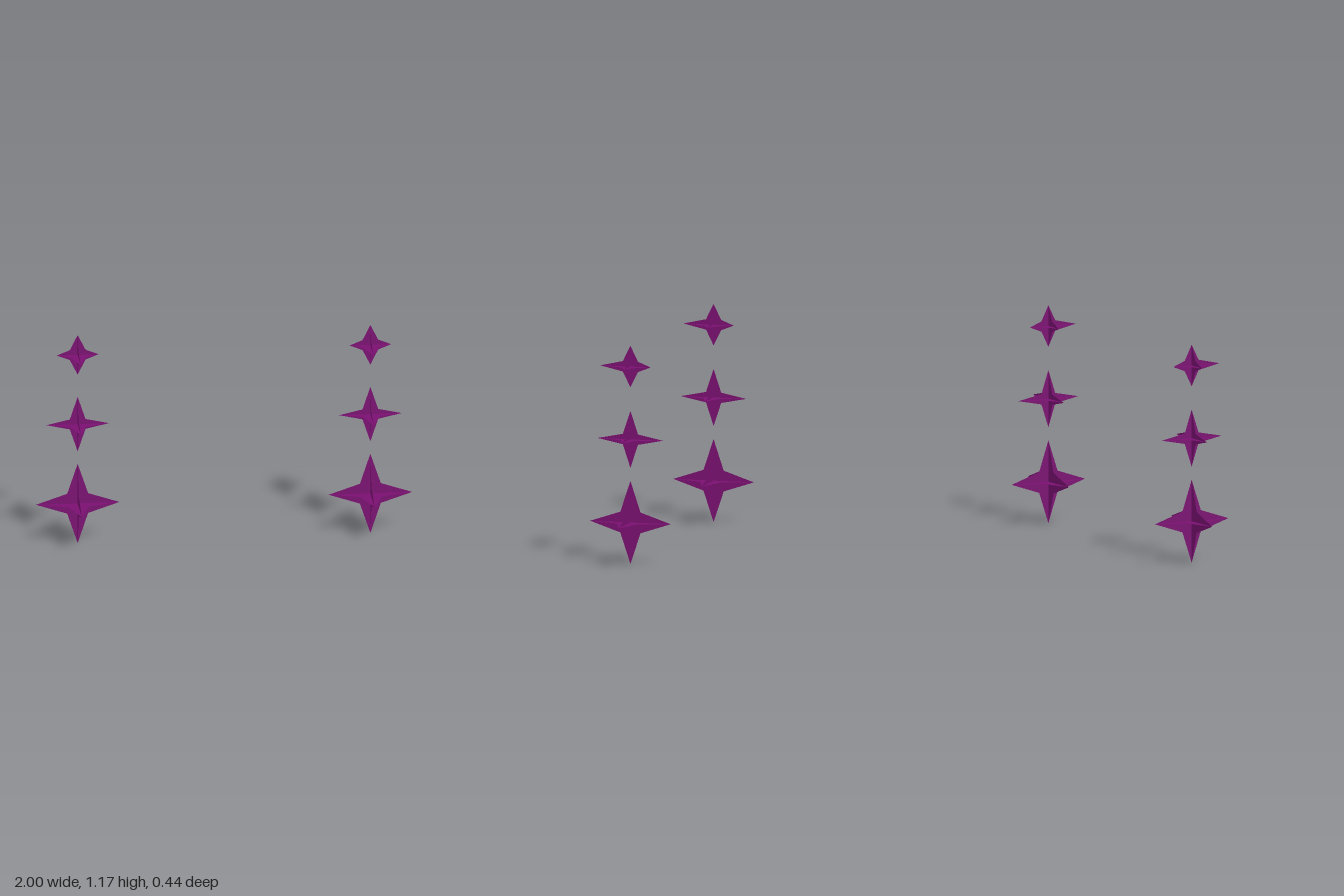
import * as THREE from 'three';

const U = 1 / 36; // grid unit all star sizes are multiples of

const material = new THREE.MeshStandardMaterial({
  color: 0x7b1072, flatShading: true, side: THREE.DoubleSide,
});

// Flat four-pointed star in the xy plane.
// h, v: [+tip, -tip, notch] along the horizontal and the vertical.
function flatStar(h, v) {
  const [right, left, nh] = h, [up, down, nv] = v;
  const points = [
    [right, 0], [nh, nv], [0, up], [-nh, nv],
    [-left, 0], [-nh, -nv], [0, -down], [nh, -nv],
  ];
  return new THREE.ShapeGeometry(
    new THREE.Shape(points.map(([a, b]) => new THREE.Vector2(a * U, b * U))));
}

// Three flat stars crossing at right angles
function crossedStar(name, { x, y, z }) {
  const star = new THREE.Group();
  star.name = name;
  const blades = {
    frontBlade: flatStar(x, y),
    sideBlade: flatStar(z, y).rotateY(-Math.PI / 2),
    levelBlade: flatStar(x, z).rotateX(Math.PI / 2),
  };
  for (const [bladeName, geometry] of Object.entries(blades)) {
    const blade = new THREE.Mesh(geometry, material);
    blade.name = bladeName;
    star.add(blade);
  }
  return star;
}

export function createModel() {
  const model = new THREE.Group();
  model.name = 'starColumns';

  // Three stars per column, from bottom to top
  const stars = [
    { name: 'largeStar', height: 8, x: [8, 8, 2], y: [8, 8, 2], z: [8, 8, 2] },
    { name: 'middleStar', height: 24, x: [6, 6, 1.5], y: [5.5, 5.5, 1], z: [6.5, 6.5, 1.5] },
    { name: 'smallStar', height: 38, x: [4, 4, 1.5], y: [4, 4, 1], z: [6, 4, 1.5] },
  ];

  // One column on each side
  for (const [side, x] of [['left', 28], ['right', -28]]) {
    const column = new THREE.Group();
    column.name = side + 'StarColumn';
    column.position.x = x * U;
    for (const spec of stars) {
      const star = crossedStar(spec.name, spec);
      star.position.y = spec.height * U;
      column.add(star);
    }
    model.add(column);
  }
  return model;
}
